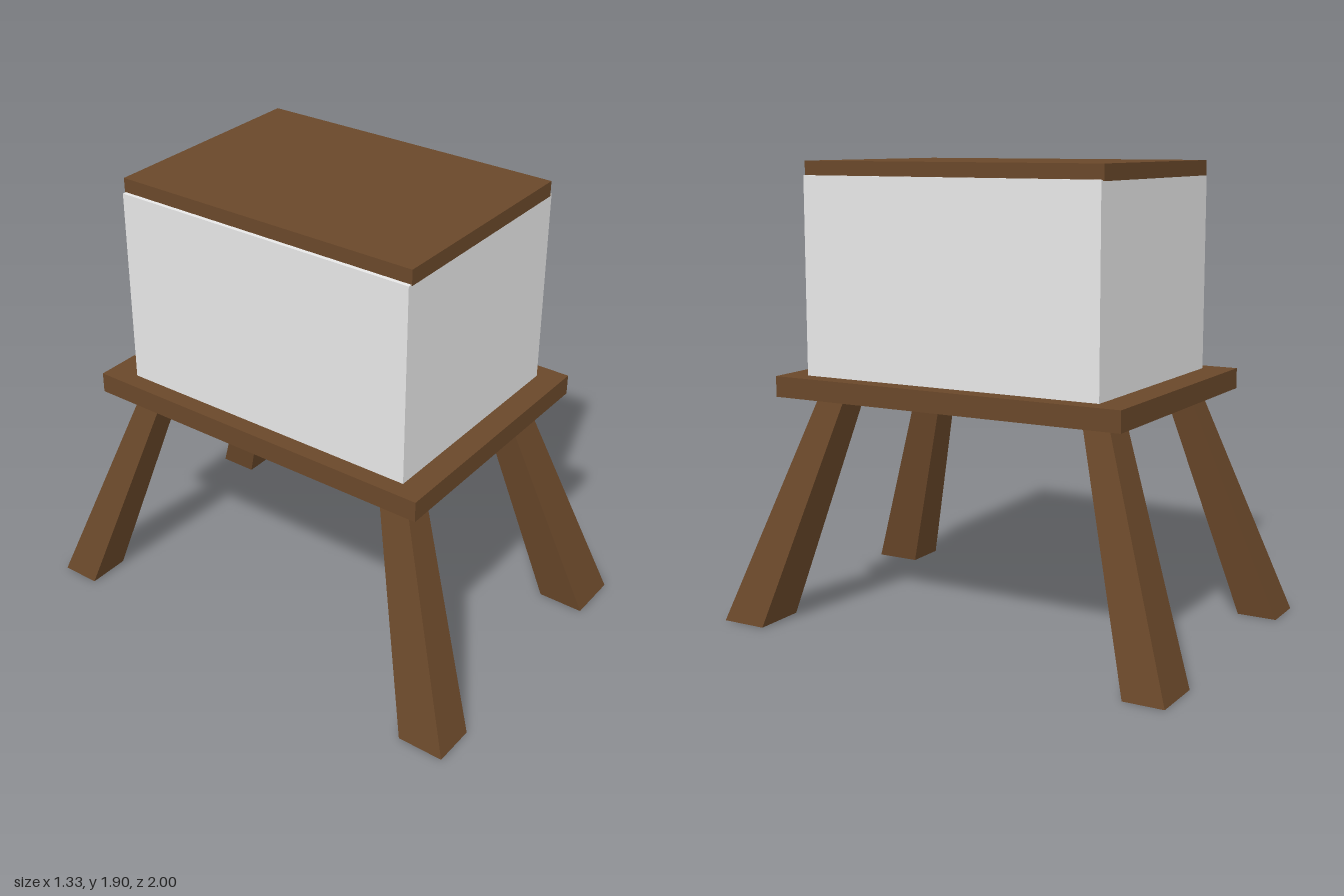
import * as THREE from 'three';

const wood = new THREE.MeshStandardMaterial({ color: 0x6a482a });
wood.name = 'brown wood';
const panel = new THREE.MeshStandardMaterial({ color: 0xe7e7e7 });
panel.name = 'pale grey';

// Box given by its [min, max] range on each axis
function slab(name, material, [x0, x1], [y0, y1], [z0, z1]) {
  const geometry = new THREE.BoxGeometry(x1 - x0, y1 - y0, z1 - z0);
  const mesh = new THREE.Mesh(geometry, material);
  mesh.position.set((x0 + x1) / 2, (y0 + y1) / 2, (z0 + z1) / 2);
  mesh.name = name;
  return mesh;
}

// Splayed, tapered leg: separate x and z ranges for the foot and the top
function leg(name, height, foot, top) {
  const geometry = new THREE.BoxGeometry(1, 1, 1);
  const p = geometry.attributes.position;
  for (let i = 0; i < p.count; i++) {
    const end = p.getY(i) > 0 ? top : foot;
    p.setXYZ(
      i,
      end.x[p.getX(i) > 0 ? 1 : 0],
      p.getY(i) > 0 ? height : 0,
      end.z[p.getZ(i) > 0 ? 1 : 0]
    );
  }
  geometry.computeVertexNormals();
  const mesh = new THREE.Mesh(geometry, wood);
  mesh.name = name;
  return mesh;
}

export function createModel() {
  const model = new THREE.Group();
  model.name = 'boxOnLegs';

  // Platform, box and lid
  model.add(slab('platform', wood, [-0.557, 0.565], [0.955, 1.04], [-0.77, 0.775]));
  model.add(slab('boxBody', panel, [-0.485, 0.488], [1.04, 1.845], [-0.645, 0.672]));
  model.add(slab('lid', wood, [-0.468, 0.475], [1.84, 1.902], [-0.65, 0.674]));

  // Four legs, each spreading outwards to its foot
  const sides = [
    { name: 'Right', foot: [-0.665, -0.482], top: [-0.44, -0.322] },
    { name: 'Left', foot: [0.436, 0.661], top: [0.284, 0.43] },
  ];
  const ends = [
    { name: 'front', foot: [0.805, 1], top: [0.53, 0.655] },
    { name: 'back', foot: [-1, -0.832], top: [-0.655, -0.545] },
  ];
  for (const s of sides) {
    for (const e of ends) {
      model.add(leg(`${e.name}${s.name}Leg`, 0.96, { x: s.foot, z: e.foot }, { x: s.top, z: e.top }));
    }
  }
  return model;
}
